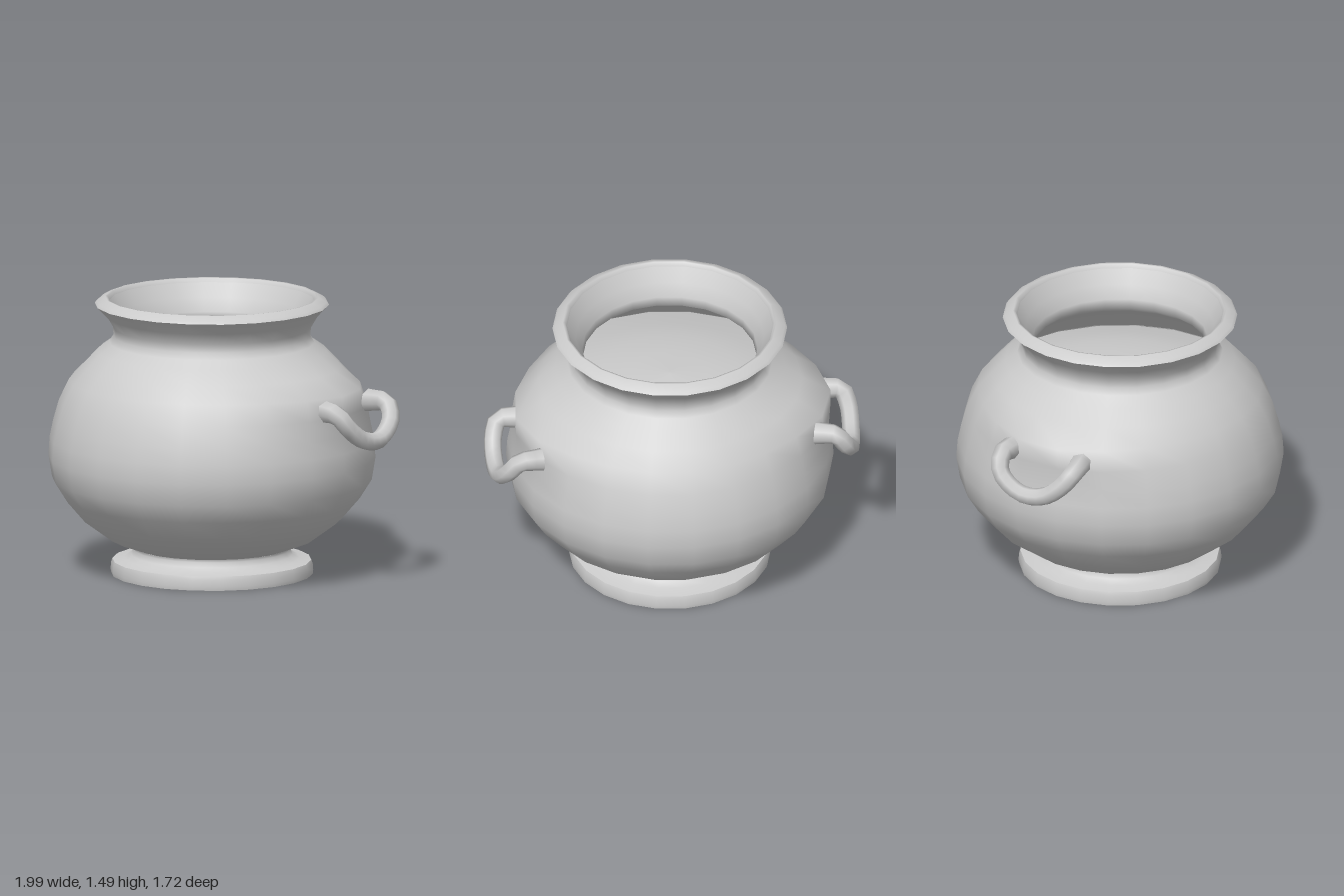
import * as THREE from 'three';
import { mergeVertices } from 'three/addons/utils/BufferGeometryUtils.js';

const SIDES = 22;
const material = new THREE.MeshStandardMaterial({ color: 0xcccccc, side: THREE.DoubleSide });

// Wall angles behind the two handles, where the shoulder swells outward
const LUG_ANGLES = [-0.33, -3.05];

function swell(geometry) {
  const p = geometry.attributes.position;
  for (let i = 0; i < p.count; i++) {
    const x = p.getX(i), y = p.getY(i), z = p.getZ(i);
    const angle = Math.atan2(z, x);
    let k = 1;
    for (const lug of LUG_ANGLES) {
      const d = Math.atan2(Math.sin(angle - lug), Math.cos(angle - lug));
      k += 0.14 * Math.exp(-((d / 0.48) ** 2) - (((y - 1.02) / 0.09) ** 2));
    }
    p.setX(i, x * k);
    p.setZ(i, z * k);
  }
}

function turned(name, profile, rule) {
  const points = profile.map(([r, y]) => new THREE.Vector2(r, y));
  let geometry = new THREE.LatheGeometry(points, SIDES, Math.PI / SIDES);
  if (rule) {
    rule(geometry);
    geometry.deleteAttribute('uv');
    geometry.deleteAttribute('normal');
    geometry = mergeVertices(geometry, 1e-4);
    geometry.computeVertexNormals();
  }
  const mesh = new THREE.Mesh(geometry, material);
  mesh.name = name;
  mesh.position.x = 0.01;
  return mesh;
}

// Loop that thickens toward both ends where it meets the wall
function handle(name, path) {
  const rings = 18, sides = 7;
  const curve = new THREE.CatmullRomCurve3(path.map((p) => new THREE.Vector3(...p)));
  const geometry = new THREE.TubeGeometry(curve, rings, 0.048, sides);
  const p = geometry.attributes.position;
  const v = new THREE.Vector3();
  for (let i = 0; i < p.count; i++) {
    const u = Math.floor(i / (sides + 1)) / rings;
    const center = curve.getPointAt(u);
    v.fromBufferAttribute(p, i).sub(center).multiplyScalar(1 + 0.3 * (2 * u - 1) ** 4).add(center);
    p.setXYZ(i, v.x, v.y, v.z);
  }
  geometry.computeBoundingSphere();
  const mesh = new THREE.Mesh(geometry, material);
  mesh.name = name;
  return mesh;
}

export function createModel() {
  const group = new THREE.Group();
  group.name = 'pot';

  // Hollow foot ring: inner wall, rounded underside, outer band, waist
  group.add(turned('footUnderside', [[0.385, 0.15], [0.37, 0.12], [0.385, 0.06], [0.43, 0.02], [0.48, 0.004], [0.535, 0]]));
  group.add(turned('footBand', [[0.535, 0], [0.538, 0.02], [0.535, 0.055], [0.528, 0.075]]));
  group.add(turned('footNeck', [[0.528, 0.075], [0.465, 0.085], [0.43, 0.105], [0.415, 0.13], [0.42, 0.145]]));

  // Round belly, shoulder and flared neck
  group.add(turned('body', [
    [0.40, 0.14], [0.54, 0.19], [0.69, 0.3], [0.785, 0.41], [0.848, 0.51], [0.868, 0.63],
    [0.861, 0.73], [0.842, 0.82], [0.81, 0.93], [0.755, 1.04], [0.68, 1.125], [0.61, 1.2],
    [0.545, 1.245], [0.523, 1.28], [0.525, 1.325], [0.56, 1.385], [0.622, 1.45],
  ], swell));

  // Rolled lip and neck lining
  group.add(turned('lip', [[0.622, 1.45], [0.61, 1.464], [0.567, 1.488], [0.555, 1.486], [0.545, 1.465]]));
  group.add(turned('neckLining', [
    [0.545, 1.465], [0.50, 1.39], [0.465, 1.32], [0.46, 1.27], [0.52, 1.225], [0.60, 1.16], [0.73, 1.04],
  ]));

  // Domed floor under the neck, and the ceiling of the hollow foot
  group.add(turned('innerFloor', [[0.74, 1.03], [0.55, 1.09], [0.38, 1.13], [0.2, 1.15], [0, 1.16]]));
  group.add(turned('footCeiling', [[0, 0.135], [0.385, 0.135]]));

  // Hanging loop handles
  group.add(handle('leftHandle', [
    [0.69, 0.97, -0.52], [0.81, 0.97, -0.55], [0.87, 0.89, -0.53], [0.92, 0.805, -0.42],
    [0.945, 0.815, -0.29], [0.948, 0.89, -0.19], [0.92, 0.96, -0.14], [0.80, 0.97, -0.13],
  ]));
  group.add(handle('rightHandle', [
    [-0.76, 0.97, -0.29], [-0.87, 0.97, -0.31], [-0.925, 0.89, -0.29], [-0.951, 0.805, -0.17],
    [-0.951, 0.81, -0.04], [-0.938, 0.89, 0.07], [-0.90, 0.96, 0.12], [-0.78, 0.97, 0.115],
  ]));
  return group;
}
